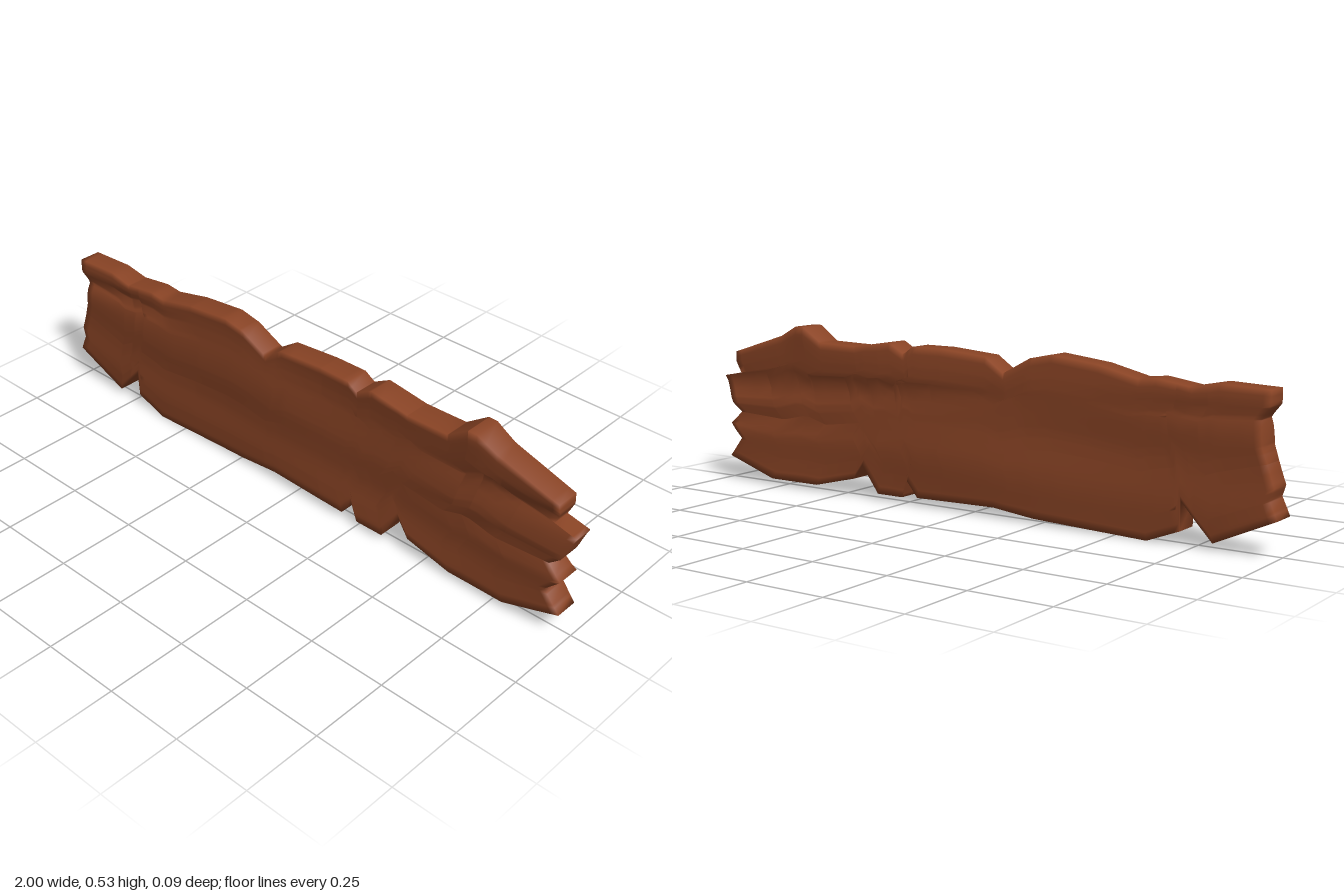
import * as THREE from 'three';

// Jagged border of the plank, [x, y]; long edges run left to right, ends run upward
const TOP = [[-.97, .457], [-.82, .463], [-.74, .447], [-.63, .463], [-.575, .457], [-.447, .487], [-.29, .505],
  [-.217, .49], [-.126, .44], [-.06, .484], [.10, .497], [.206, .497], [.238, .473], [.297, .505], [.43, .484],
  [.57, .487], [.64, .534], [.67, .534], [.735, .50], [.94, .436]];
const BOTTOM = [[-1, .11], [-.81, .024], [-.715, .13], [-.712, .045], [-.607, .004], [-.233, .019], [-.09, .035],
  [.195, .029], [.233, .077], [.254, .024], [.35, .024], [.41, .11], [.447, .061], [.60, .024], [.79, .024], [.976, .083]];
const LEFT = [[-1, .11], [-.976, .163], [-.987, .195], [-.95, .302], [-.944, .377], [-.97, .414], [-.97, .457]];
const RIGHT = [[.976, .083], [.922, .147], [.97, .195], [.925, .235], [.96, .265], [1, .352], [.925, .366], [.942, .404], [.94, .436]];

// Position of each border point along its edge, 0..1, measured on one axis
const params = (line, axis) => {
  const a = line[0][axis], b = line[line.length - 1][axis];
  return line.map(p => (p[axis] - a) / (b - a));
};

// Sampler that walks a border line
function sampler(line, axis) {
  const ts = params(line, axis);
  return t => {
    let k = 0;
    while (k < ts.length - 2 && t > ts[k + 1]) k++;
    const f = (t - ts[k]) / (ts[k + 1] - ts[k]);
    return [0, 1].map(c => line[k][c] + (line[k + 1][c] - line[k][c]) * f);
  };
}

// Sorted steps that hit every corner of two opposite edges
function steps(lineA, lineB, axis, count, rim) {
  const all = [...params(lineA, axis), ...params(lineB, axis), rim, 1 - rim];
  for (let i = 1; i < count; i++) all.push(i / count);
  return all.sort((a, b) => a - b).filter((t, i, s) => i === 0 || t - s[i - 1] > 1e-4);
}

const bell = (d, w) => Math.exp(-d * d / (w * w));
const ramp = (a, b, x) => {
  const t = Math.min(1, Math.max(0, (x - a) / (b - a)));
  return t * t * (3 - 2 * t);
};

// Worn front face: shallow grain and splits that run in from the ends
function frontZ(x, y) {
  return .036 + .003 * Math.sin(y * 26 + x * 1.6) + .002 * Math.sin(x * 7 + y * 9)
    + .009 * bell(x + .6, .25) * bell(y - .27, .09)
    - .013 * bell(y - .385 - .03 * (x + .9), .025) * ramp(-.35, -.85, x)
    - .010 * bell(y - .38, .025) * ramp(.35, .85, x)
    - .010 * bell(y - .24, .03) * ramp(.3, .85, x)
    + .006 * bell(x - .65, .06) * bell(y - .53, .06);
}

// Worn back face
function backZ(x, y) {
  return -.040 + .003 * Math.sin(y * 24 - x * 1.4 + 1) + .002 * Math.sin(x * 6 - y * 8)
    + .010 * bell(y - .36 + .03 * x, .03) * ramp(-.5, .6, x)
    + .010 * bell(y - .22, .03) * ramp(.2, .85, x)
    + .007 * bell(y - .38, .03) * ramp(-.3, -.85, x)
    - .008 * bell(x - .65, .06) * bell(y - .53, .06);
}

function plankGeometry() {
  const top = sampler(TOP, 0), bottom = sampler(BOTTOM, 0);
  const left = sampler(LEFT, 1), right = sampler(RIGHT, 1);
  const us = steps(TOP, BOTTOM, 0, 32, .012), vs = steps(LEFT, RIGHT, 1, 14, .05);
  const nu = us.length, nv = vs.length, layer = nu * nv;
  const positions = [], index = [];

  // Blend the four borders into a sheet, once for the front and once for the back
  for (const depth of [frontZ, backZ]) {
    for (const v of vs) for (const u of us) {
      const t = top(u), b = bottom(u), l = left(v), r = right(v);
      const [x, y] = [0, 1].map(c => (1 - v) * b[c] + v * t[c] + (1 - u) * l[c] + u * r[c]
        - (1 - u) * (1 - v) * BOTTOM[0][c] - u * (1 - v) * RIGHT[0][c]
        - (1 - u) * v * TOP[0][c] - u * v * TOP[TOP.length - 1][c]);
      positions.push(x, y, depth(x, y));
    }
  }
  const quad = (a, b, c, d) => index.push(a, b, c, a, c, d);
  for (let j = 0; j < nv - 1; j++) for (let i = 0; i < nu - 1; i++) {
    const a = j * nu + i, b = a + 1, c = b + nu, d = a + nu;
    quad(a, b, c, d);
    quad(layer + b, layer + a, layer + d, layer + c);
  }

  // Broken edge all round, walked anticlockwise from the lower left corner
  const rim = [];
  for (let i = 0; i < nu - 1; i++) rim.push(i);
  for (let j = 0; j < nv - 1; j++) rim.push(j * nu + nu - 1);
  for (let i = nu - 1; i > 0; i--) rim.push((nv - 1) * nu + i);
  for (let j = nv - 1; j > 0; j--) rim.push(j * nu);
  rim.forEach((a, k) => {
    const b = rim[(k + 1) % rim.length];
    quad(a, layer + a, layer + b, b);
  });

  const geometry = new THREE.BufferGeometry();
  geometry.setAttribute('position', new THREE.Float32BufferAttribute(positions, 3));
  geometry.setIndex(index);
  geometry.computeVertexNormals();
  return geometry;
}

export function createModel() {
  const group = new THREE.Group();
  group.name = 'brokenPlank';
  const wood = new THREE.MeshStandardMaterial({ color: 0x8a4425 });
  wood.name = 'brown wood';
  const plank = new THREE.Mesh(plankGeometry(), wood);
  plank.name = 'plank';
  group.add(plank);
  return group;
}
